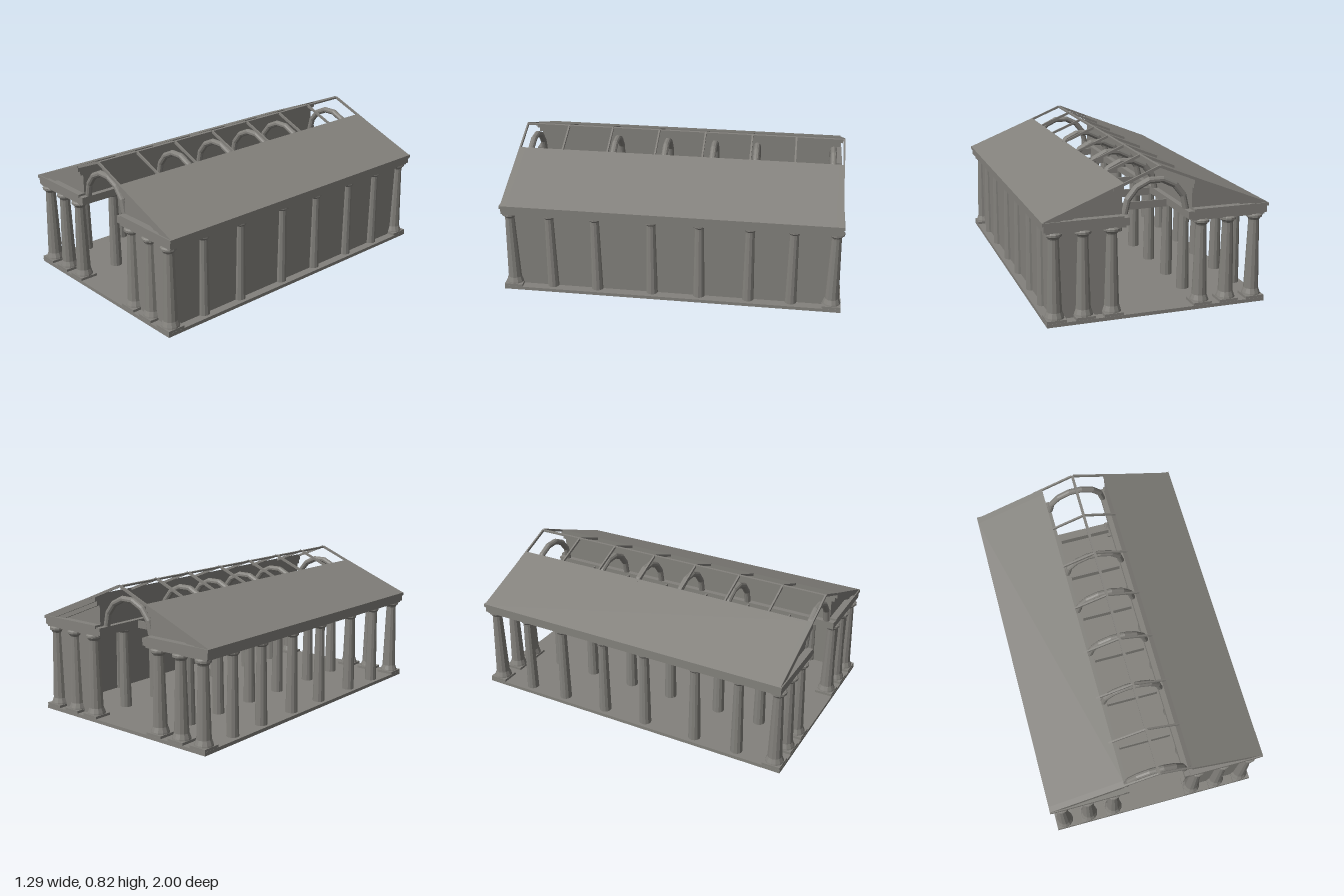
import * as THREE from 'three';

const stone = new THREE.MeshStandardMaterial({ color: 0x83817c, flatShading: true });
stone.name = 'grey stone';

export function createModel() {
  const model = new THREE.Group();
  const add = (name, geometry, x = 0, y = 0, z = 0, parent = model) => {
    const mesh = new THREE.Mesh(geometry, stone);
    mesh.name = name;
    mesh.position.set(x, y, z);
    parent.add(mesh);
    return mesh;
  };
  // Box given by its min and max on each axis
  const block = (name, x0, x1, y0, y1, z0, z1) =>
    add(name, new THREE.BoxGeometry(Math.abs(x1 - x0), y1 - y0, Math.abs(z1 - z0)),
      (x0 + x1) / 2, (y0 + y1) / 2, (z0 + z1) / 2);
  // Outline in the front plane, extruded evenly about z
  const slab = (name, points, depth, z = 0) => {
    const shape = new THREE.Shape(points.map(p => new THREE.Vector2(...p)));
    const geometry = new THREE.ExtrudeGeometry(shape, { depth, bevelEnabled: false });
    return add(name, geometry, 0, 0, z - depth / 2);
  };
  const lathe = points => new THREE.LatheGeometry(points.map(p => new THREE.Vector2(...p)), 12);

  // Floor
  block('floor', -0.63, 0.63, 0, 0.02, -1, 1);

  // Columns: end columns have flared bases, the inner ones are plain
  const capital = [[0.03, 0.47], [0.036, 0.48], [0.046, 0.488], [0.046, 0.5], [0.038, 0.507], [0, 0.507]];
  const endColumn = lathe([[0.054, 0.033], [0.052, 0.043], [0.042, 0.07], [0.03, 0.46], ...capital]);
  const plainColumn = lathe([[0.036, 0.02], [0.028, 0.46], [0.028, 0.475], [0.038, 0.487],
    [0.038, 0.5], [0.033, 0.507], [0, 0.507]]);
  const bays = [0.71, 0.44, 0.11, -0.17, -0.46, -0.71];
  for (const side of [-1, 1]) {
    for (const x of [0.257, 0.416, 0.575]) {
      for (const z of [-0.945, 0.945]) {
        add('endColumn', endColumn, side * x, 0, z);
        block('plinth', side * x - 0.054, side * x + 0.054, 0.02, 0.035, z - 0.054, z + 0.054);
      }
    }
    for (const z of bays) {
      add('sideColumn', plainColumn, side * 0.575, 0, z);
      add('innerColumn', plainColumn, side * 0.257, 0, z);
    }
  }

  // Walls closing the left aisle
  block('sideWall', 0.565, 0.58, 0.02, 0.51, -0.945, 0.945);
  for (const z of [-0.94, 0.94]) block('endWall', 0.26, 0.58, 0.02, 0.51, z - 0.006, z + 0.006);

  // Entablature and solid half roofs with stepped pediments
  const slope = 0.398;
  for (const s of [-1, 1]) {
    block('architraveStrip', s * 0.185, s * 0.625, 0.503, 0.516, -0.975, 0.975);
    block('architrave', s * 0.168, s * 0.635, 0.514, 0.556, -0.98, 0.98);
    block('cornice', s * 0.2, s * 0.643, 0.55, 0.568, -0.985, 0.985);
    const roofY = x => 0.568 + (0.643 - x) * slope;
    slab('roof', [[s * 0.2, 0.556], [s * 0.643, 0.556], [s * 0.643, 0.568], [s * 0.2, roofY(0.2)]], 1.89);
    for (const z of [-1, 1]) {
      const band = (name, top, bottom, depth) => slab(name, [
        [s * 0.2, roofY(0.2) - top], [s * 0.2, roofY(0.2) - bottom],
        [s * (0.643 - (bottom - 0.004) / slope), 0.564],
        [s * (0.643 - Math.max(top - 0.004, 0) / slope), 0.564], [s * 0.643, 0.568 - top],
      ].slice(0, top ? 4 : 5), depth, z * (0.94 + depth / 2));
      band('rakingCornice', 0, 0.038, 0.038);
      band('rakingMoulding', 0.038, 0.064, 0.024);
    }
  }

  // Open ridge frame: paired rafters, cross ties and ridge bar
  const frames = [0.972, 0.71, 0.435, 0.145, -0.14, -0.425, -0.69, -0.975];
  frames.forEach((z, i) => {
    for (const s of [-1, 1]) {
      slab('rafter', [[s * 0.26, 0.72], [s * 0.26, 0.705], [s * 0.006, 0.808], [s * 0.006, 0.824]], 0.01, z);
    }
    if (i > 0 && i < frames.length - 1) {
      block('tieBeam', -0.155, 0.155, 0.511, 0.554, z - 0.005, z + 0.005);
    }
  });
  block('ridgeBar', -0.008, 0.008, 0.81, 0.82, -0.978, 0.978);

  // Round arches along the nave
  const arch = new THREE.TorusGeometry(0.176, 0.019, 10, 7, Math.PI);
  for (const z of [0.932, 0.417, 0.1, -0.193, -0.455, -0.917]) add('arch', arch, 0, 0.56, z);

  return model;
}
